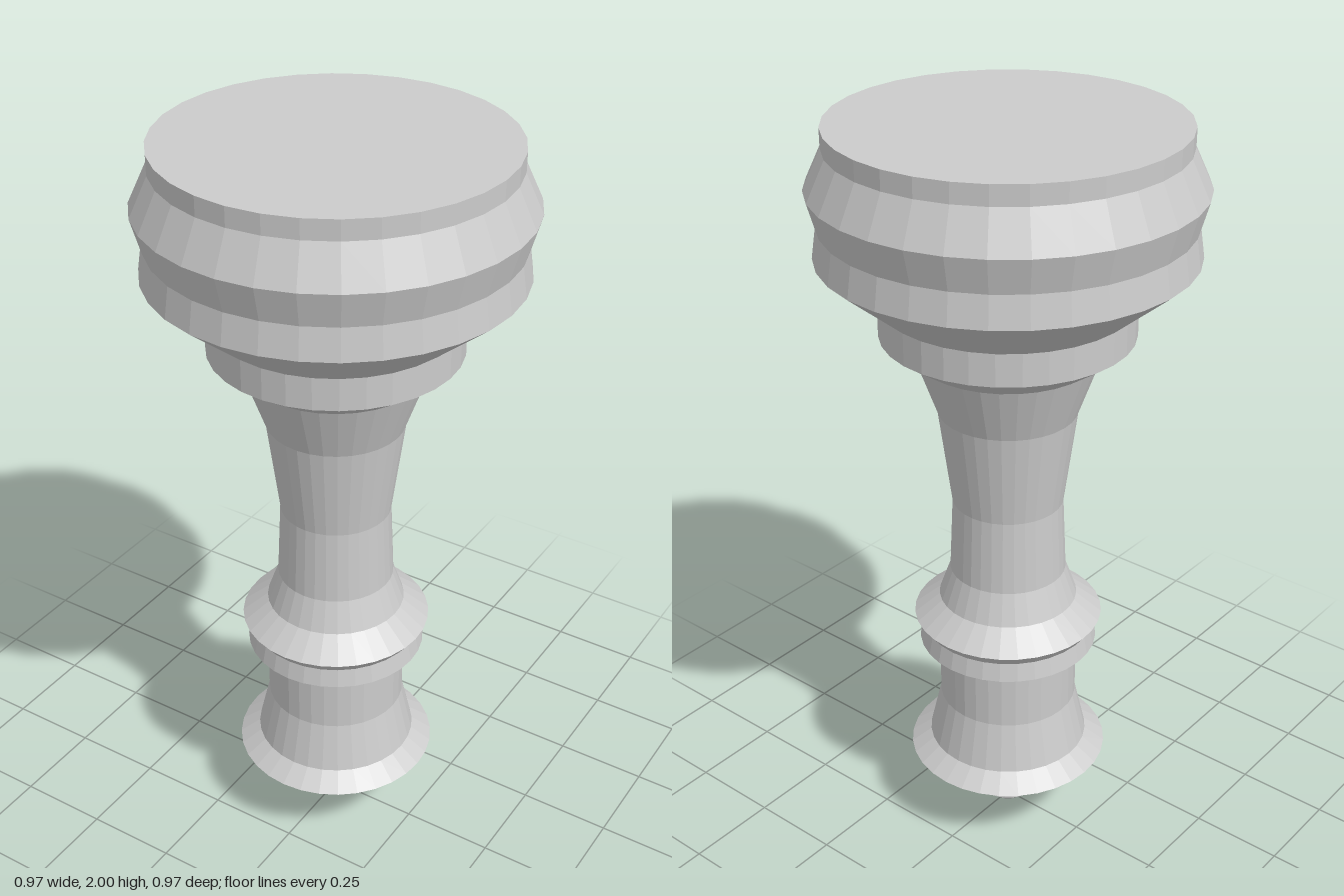
import * as THREE from 'three';

const SIDES = 32;

// Turned sections from bottom to top, each a list of [radius, height];
// neighbouring sections share a ring.
const SECTIONS = {
  finial: [[0, 0], [0.035, 0], [0.09, 0.05], [0.08, 0.085]],
  lowerFlange: [[0.08, 0.085], [0.15, 0.17], [0.272, 0.21], [0.218, 0.25]],
  lowerStem: [[0.218, 0.25], [0.187, 0.385], [0.187, 0.54]],
  collar: [[0.187, 0.54], [0.24, 0.57], [0.23, 0.62], [0.253, 0.65], [0.185, 0.705]],
  shaft: [[0.185, 0.705], [0.155, 0.79], [0.146, 0.995], [0.18, 1.255], [0.235, 1.41]],
  upperRing: [[0.235, 1.41], [0.322, 1.47], [0.322, 1.555]],
  head: [
    [0.322, 1.555], [0.472, 1.68], [0.46, 1.76], [0.485, 1.85],
    [0.438, 1.95], [0.438, 2], [0, 2],
  ],
};

export function createModel() {
  const group = new THREE.Group();
  group.name = 'turnedPost';
  const material = new THREE.MeshStandardMaterial({ color: 0xcccccc, flatShading: true });

  for (const [name, profile] of Object.entries(SECTIONS)) {
    const points = profile.map(([r, y]) => new THREE.Vector2(r, y));
    const mesh = new THREE.Mesh(new THREE.LatheGeometry(points, SIDES), material);
    mesh.name = name;
    group.add(mesh);
  }
  return group;
}
